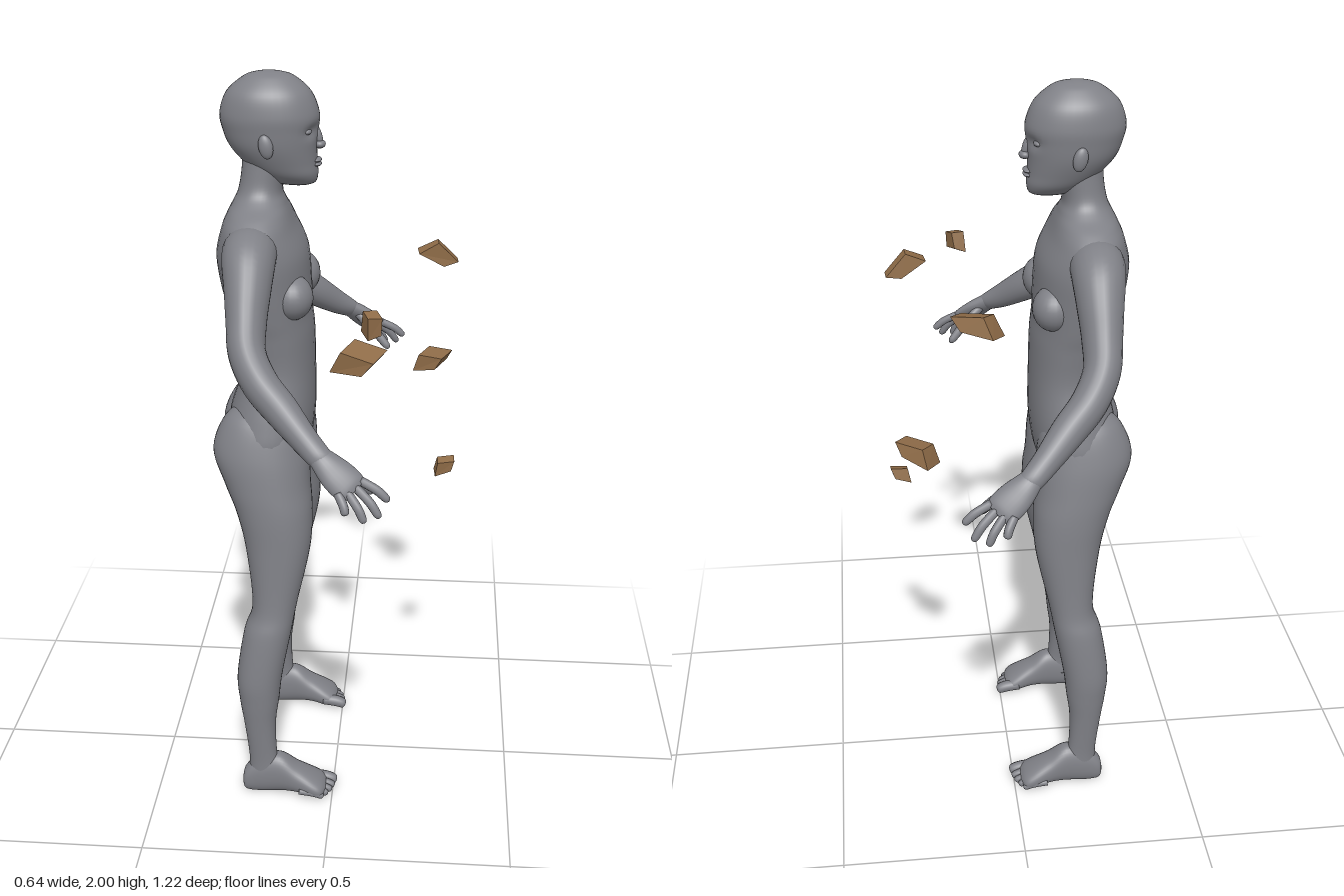
import * as THREE from 'three';

const skinMat = new THREE.MeshStandardMaterial({ color: 0x808187, name: 'grey skin' });
const rockMat = new THREE.MeshStandardMaterial({ color: 0x8f6c48, name: 'brown rock', flatShading: true });
const SEG = 40;

// Catmull-Rom interpolation of every column of a table of rows
function spline(rows, steps) {
  const out = [];
  const last = rows.length - 1;
  for (let i = 0; i < last; i++) {
    const [p, a, b, q] = [rows[Math.max(i - 1, 0)], rows[i], rows[i + 1], rows[Math.min(i + 2, last)]];
    for (let s = 0; s < steps; s++) {
      const t = s / steps;
      out.push(a.map((v, k) => v + 0.5 * t * (b[k] - p[k] + t * (2 * p[k] - 5 * v + 4 * b[k] - q[k]
        + t * (3 * (v - b[k]) + q[k] - p[k])))));
    }
  }
  out.push(rows[last]);
  return out;
}

function flip(geo) {
  const a = geo.index.array;
  for (let i = 0; i < a.length; i += 3) [a[i], a[i + 1]] = [a[i + 1], a[i]];
  return geo;
}

// Closed smooth surface over a list of rings, with faces turned outward
function skin(rings, rule) {
  const n = rings[0].length, pts = rings.flat(), idx = [];
  for (let r = 0; r + 1 < rings.length; r++) {
    for (let i = 0; i < n; i++) {
      const a = r * n + i, b = r * n + (i + 1) % n;
      idx.push(a, b, a + n, b, b + n, a + n);
    }
  }
  [0, rings.length - 1].forEach((r, end) => {
    const mid = rings[r].reduce((s, p) => s.add(p), new THREE.Vector3()).divideScalar(n);
    pts.push(mid);
    for (let i = 0; i < n; i++) {
      const a = r * n + i, b = r * n + (i + 1) % n;
      if (end) idx.push(a, b, pts.length - 1); else idx.push(b, a, pts.length - 1);
    }
  });
  if (rule) pts.forEach(rule);
  const geo = new THREE.BufferGeometry().setFromPoints(pts);
  geo.setIndex(idx);
  let volume = 0;
  for (let i = 0; i < idx.length; i += 3) {
    volume += pts[idx[i]].dot(pts[idx[i + 1]].clone().cross(pts[idx[i + 2]]));
  }
  if (volume < 0) flip(geo);
  geo.computeVertexNormals();
  return geo;
}

// Rows give position along an axis, then the limits in the two other directions
function loft(rows, axis = 'y', power = 2.2, rule) {
  const rings = spline(rows, 6).map(([t, u0, u1, z0, z1]) => Array.from({ length: SEG }, (_, i) => {
    const a = (i / SEG) * Math.PI * 2, c = Math.cos(a), s = Math.sin(a);
    const u = (u0 + u1) / 2 + (u1 - u0) / 2 * Math.sign(c) * Math.abs(c) ** (2 / power);
    const z = (z0 + z1) / 2 + (z1 - z0) / 2 * Math.sign(s) * Math.abs(s) ** (2 / power);
    return axis === 'y' ? new THREE.Vector3(u, t, z) : new THREE.Vector3(t, u, z);
  }));
  return skin(rings, rule);
}

// Rows give a centre and two radii; "side" is the direction of the first radius
function limb(rows, side = [1, 0, 0], seg = 24) {
  const path = spline(rows, 5);
  const at = (i) => new THREE.Vector3(...path[Math.min(Math.max(i, 0), path.length - 1)].slice(0, 3));
  return skin(path.map((row, i) => {
    const tan = at(i + 1).sub(at(i - 1)).normalize();
    const u = new THREE.Vector3(...side);
    u.addScaledVector(tan, -u.dot(tan)).normalize();
    const v = tan.clone().cross(u);
    return Array.from({ length: seg }, (_, k) => {
      const a = (k / seg) * Math.PI * 2;
      return at(i).addScaledVector(u, row[3] * Math.cos(a)).addScaledVector(v, row[4] * Math.sin(a));
    });
  }));
}

// Round-ended finger or toe through three points
function digit(a, b, c, r) {
  const mix = (t) => b.map((v, k) => v + (c[k] - v) * t);
  return limb([[...a, r, r], [...b, r, r], [...mix(0.7), r * 0.9, r * 0.9],
    [...mix(0.93), r * 0.6, r * 0.6], [...c, r * 0.1, r * 0.1]], [0.3, 0.9, 0.2], 12);
}

function blob(center, radii, tilt = 0) {
  return new THREE.SphereGeometry(1, 24, 16).scale(...radii).rotateZ(tilt).translate(...center);
}

export function createModel() {
  const model = new THREE.Group();
  const add = (name, geo, mat = skinMat) => {
    const mesh = new THREE.Mesh(geo, mat);
    mesh.name = name;
    model.add(mesh);
    return mesh;
  };
  const pair = (name, geo) => {
    add(name + 'Left', geo);
    const other = geo.clone();
    const pos = other.attributes.position;
    for (let i = 0; i < pos.count; i++) pos.setZ(i, -pos.getZ(i));
    flip(other).computeVertexNormals();
    add(name + 'Right', other);
  };
  const even = (rows) => rows.map(([y, x0, x1, w]) => [y, x0, x1, -w, w]);

  // Torso and neck, with a shallow groove along the spine
  add('torso', loft(even([
    [0.925, -0.21, -0.13, 0.02], [0.95, -0.25, -0.1, 0.08], [1.0, -0.285, -0.08, 0.16],
    [1.05, -0.295, -0.068, 0.19], [1.13, -0.285, -0.06, 0.178], [1.24, -0.255, -0.06, 0.15],
    [1.34, -0.27, -0.062, 0.158], [1.4, -0.285, -0.068, 0.17], [1.475, -0.302, -0.07, 0.182],
    [1.555, -0.31, -0.078, 0.192], [1.62, -0.295, -0.108, 0.188], [1.655, -0.28, -0.122, 0.15],
    [1.68, -0.266, -0.132, 0.1], [1.71, -0.252, -0.14, 0.07], [1.765, -0.242, -0.13, 0.062],
    [1.83, -0.24, -0.11, 0.06]]), 'y', 2.2, (p) => {
    if (p.x < -0.2) p.x += 0.018 * Math.exp(-((p.z / 0.03) ** 2) - ((p.y - 1.4) / 0.2) ** 4);
  }));
  pair('breast', blob([-0.108, 1.455, 0.105], [0.053, 0.058, 0.06]));

  // Head with eye sockets pressed in
  add('head', loft(even([
    [1.72, -0.13, -0.075, 0.015], [1.728, -0.165, -0.056, 0.035], [1.75, -0.2, -0.05, 0.058],
    [1.78, -0.238, -0.052, 0.073], [1.82, -0.272, -0.052, 0.087], [1.86, -0.288, -0.048, 0.093],
    [1.9, -0.294, -0.046, 0.095], [1.95, -0.276, -0.066, 0.084], [1.985, -0.235, -0.105, 0.052],
    [1.996, -0.205, -0.135, 0.028], [2.0, -0.175, -0.165, 0.004]]), 'y', 2.1, (p) => {
    if (p.x > -0.12) {
      p.x -= 0.011 * Math.exp(-(((p.y - 1.86) / 0.016) ** 2) - ((Math.abs(p.z) - 0.04) / 0.02) ** 2);
    }
  }));
  pair('eye', blob([-0.075, 1.86, 0.04], [0.013, 0.008, 0.016]));
  pair('ear', blob([-0.17, 1.832, 0.093], [0.018, 0.03, 0.012], 0.2));
  add('nose', blob([-0.05, 1.84, 0], [0.011, 0.03, 0.011], 0.25));
  add('noseTip', blob([-0.046, 1.822, 0], [0.015, 0.011, 0.018]));
  for (const y of [1.773, 1.783]) add('lip', blob([-0.053, y, 0], [0.012, 0.006, 0.024]));

  // Legs, whose tops form the buttocks
  pair('leg', loft([
    [1.16, -0.24, -0.13, 0.06, 0.13], [1.12, -0.293, -0.085, 0.022, 0.172], [1.035, -0.325, -0.07, 0.003, 0.2],
    [0.945, -0.297, -0.066, 0.004, 0.216], [0.865, -0.265, -0.06, 0.03, 0.225], [0.76, -0.24, -0.065, 0.056, 0.23],
    [0.6, -0.222, -0.1, 0.105, 0.24], [0.52, -0.245, -0.115, 0.12, 0.257], [0.39, -0.265, -0.14, 0.137, 0.269],
    [0.31, -0.26, -0.15, 0.152, 0.267], [0.23, -0.248, -0.16, 0.176, 0.261], [0.12, -0.236, -0.157, 0.193, 0.254],
    [0.06, -0.24, -0.14, 0.19, 0.255]]));
  pair('foot', loft([
    [-0.256, 0.025, 0.05, 0.215, 0.235], [-0.247, 0.006, 0.08, 0.2, 0.25], [-0.21, 0, 0.115, 0.192, 0.255],
    [-0.15, 0.005, 0.128, 0.186, 0.26], [-0.1, 0.008, 0.094, 0.18, 0.268], [-0.055, 0.002, 0.066, 0.173, 0.276],
    [-0.03, 0.004, 0.048, 0.175, 0.272], [-0.018, 0.012, 0.034, 0.19, 0.25]], 'x', 2.3));
  [[0.188, 0.01, 0.017], [0.212, 0.006, 0.012], [0.232, 0, 0.011], [0.25, -0.01, 0.011], [0.266, -0.022, 0.01]]
    .forEach(([z, tip, r]) => pair('toe', digit([tip - 0.07, 0.03, z], [tip - 0.03, 0.025, z], [tip, 0.015, z], r)));

  // Arms
  pair('arm', limb([
    [-0.21, 1.595, 0.09, 0.04, 0.03], [-0.208, 1.59, 0.14, 0.066, 0.06], [-0.205, 1.57, 0.2, 0.066, 0.067],
    [-0.202, 1.52, 0.25, 0.058, 0.064], [-0.2, 1.455, 0.3, 0.05, 0.06], [-0.192, 1.395, 0.355, 0.046, 0.055],
    [-0.155, 1.338, 0.405, 0.045, 0.054], [-0.1, 1.29, 0.45, 0.042, 0.046], [-0.045, 1.242, 0.497, 0.034, 0.036],
    [-0.008, 1.213, 0.527, 0.03, 0.026], [0.01, 1.2, 0.535, 0.026, 0.018]]));

  // Hands: flat palm, four fingers and thumb
  pair('palm', limb([
    [-0.02, 1.222, 0.517, 0.022, 0.018], [0.005, 1.203, 0.535, 0.032, 0.022], [0.035, 1.178, 0.549, 0.041, 0.02],
    [0.066, 1.153, 0.56, 0.042, 0.016], [0.08, 1.142, 0.565, 0.034, 0.009]], [0.8, 0.35, -0.45]));
  [[[0.092, 1.162, 0.546], [0.13, 1.142, 0.552], [0.16, 1.116, 0.556]],
    [[0.08, 1.152, 0.558], [0.115, 1.121, 0.574], [0.14, 1.085, 0.584]],
    [[0.062, 1.144, 0.57], [0.088, 1.112, 0.588], [0.105, 1.078, 0.598]],
    [[0.042, 1.142, 0.578], [0.055, 1.12, 0.593], [0.062, 1.098, 0.603]]]
    .forEach(([a, b, c]) => pair('finger', digit(a, b, c, 0.011)));
  pair('thumb', digit([0.02, 1.193, 0.53], [0.072, 1.15, 0.502], [0.118, 1.1, 0.484], 0.013));

  // Floating rock chunks: skewed, tapered boxes
  [[[0.26, 1.545, 0.0], [0.075, 0.05, 0.045], [0.2, 0.3, -0.7], 0.6],
    [[0.29, 0.945, -0.01], [0.045, 0.038, 0.035], [0.2, 0.3, 0.2], 0.7],
    [[0.105, 1.475, 0.345], [0.032, 0.056, 0.048], [0.2, 0.5, 0.15], 0.75],
    [[0.063, 1.308, 0.142], [0.095, 0.058, 0.085], [0.25, -0.3, 0.1], 0.65],
    [[0.25, 1.155, -0.267], [0.075, 0.046, 0.07], [0.15, -0.35, 0.25], 0.65]]
    .forEach(([at, size, turn, taper]) => {
      const geo = new THREE.BoxGeometry(1, 1, 1), pos = geo.attributes.position;
      for (let i = 0; i < pos.count; i++) {
        const [x, y, z] = [pos.getX(i), pos.getY(i), pos.getZ(i)];
        const k = x > 0 ? taper : 1;
        pos.setXYZ(i, x + 0.35 * y - 0.15 * z, y * k, z * (y > 0 ? 0.8 : 1) + 0.2 * x);
      }
      const rock = add('rockChunk', geo.scale(...size), rockMat);
      rock.position.set(...at);
      rock.rotation.set(...turn);
    });
  return model;
}
